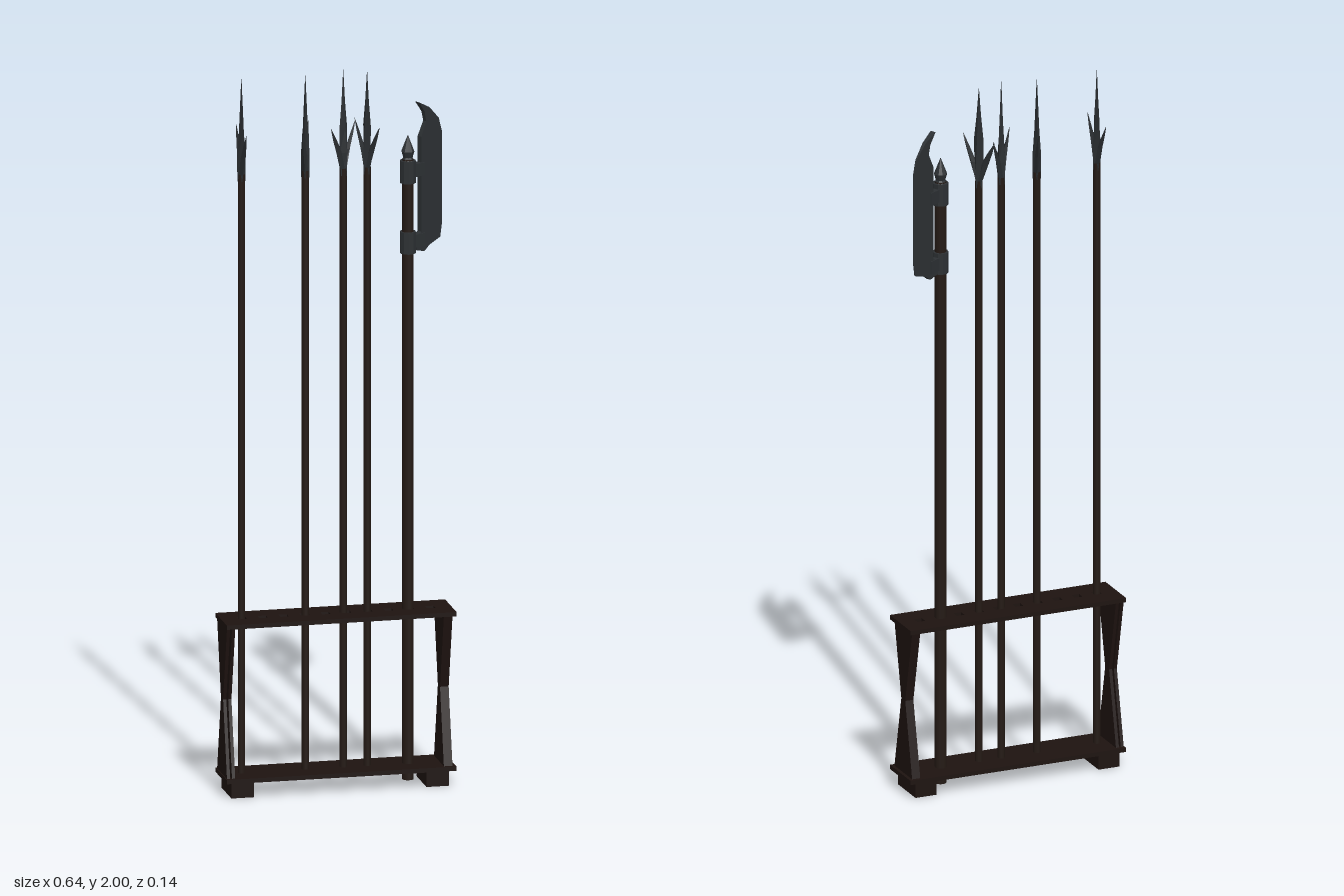
import * as THREE from 'three';

const wood = new THREE.MeshStandardMaterial({ color: 0x1e1310 });
const shaftWood = new THREE.MeshStandardMaterial({ color: 0x241a15 });
const metal = new THREE.MeshStandardMaterial({ color: 0x2c3033, flatShading: true });

function add(parent, name, geometry, material, x = 0, y = 0, z = 0) {
  const mesh = new THREE.Mesh(geometry, material);
  mesh.name = name;
  mesh.position.set(x, y, z);
  parent.add(mesh);
  return mesh;
}

// Spike with a diamond section; stations are [x, y, halfWidth, halfThickness], bottom to top
function diamondLoft(stations) {
  const pos = [], index = [];
  for (const [x, y, w, t] of stations) pos.push(x + w, y, 0, x, y, t, x - w, y, 0, x, y, -t);
  for (let i = 0; i < stations.length - 1; i++) {
    for (let k = 0; k < 4; k++) {
      const a = i * 4 + k, b = i * 4 + (k + 1) % 4;
      index.push(a, a + 4, b, b, a + 4, b + 4);
    }
  }
  index.push(0, 1, 2, 0, 2, 3);
  const g = new THREE.BufferGeometry();
  g.setAttribute('position', new THREE.Float32BufferAttribute(pos, 3));
  g.setIndex(index);
  g.computeVertexNormals();
  return g;
}

function polygon(points) {
  return new THREE.Shape(points.map(([x, y]) => new THREE.Vector2(x, y)));
}

function createRack() {
  const rack = new THREE.Group();
  rack.name = 'rack';

  // Upper board pierced by a row of ten square holes
  const top = polygon([[-0.318, -0.069], [0.318, -0.069], [0.318, 0.069], [-0.318, 0.069]]);
  for (let i = 0; i < 10; i++) {
    const x = -0.261 + i * 0.058, h = 0.0115;
    top.holes.push(new THREE.Path([[x - h, -h], [x - h, h], [x + h, h], [x + h, -h]]
      .map(([a, b]) => new THREE.Vector2(a, b))));
  }
  const topGeo = new THREE.ExtrudeGeometry(top, { depth: 0.012, bevelEnabled: false });
  topGeo.rotateX(-Math.PI / 2);
  add(rack, 'topBoard', topGeo, wood, 0, 0.474, 0);
  add(rack, 'bottomBoard', new THREE.BoxGeometry(0.636, 0.012, 0.138), wood, 0, 0.049, 0);

  for (const x of [-0.272, 0.268]) {
    add(rack, 'foot', new THREE.BoxGeometry(0.062, 0.044, 0.118), wood, x, 0.022, 0);
  }

  // Hourglass end plates, two at each end
  const side = polygon([[-0.06, 0.05], [0.06, 0.05], [0.013, 0.265], [0.06, 0.478],
    [-0.06, 0.478], [-0.013, 0.265]]);
  for (const [x, depth] of [[-0.311, 0.009], [-0.297, 0.009], [0.291, 0.012], [0.303, 0.012]]) {
    const g = new THREE.ExtrudeGeometry(side, { depth, bevelEnabled: false });
    g.translate(0, 0, -depth / 2);
    g.rotateY(Math.PI / 2);
    add(rack, 'endPlate', g, wood, x, 0, 0);
  }
  return rack;
}

function createSpear(x, angle, tip) {
  const spear = new THREE.Group();
  spear.name = 'spear';
  spear.position.x = x;
  spear.rotation.y = angle;
  add(spear, 'spearShaft', new THREE.CylinderGeometry(0.01, 0.01, 1.67, 10), shaftWood, 0, 0.89, 0);
  // Socket swelling into a long central point
  add(spear, 'spearPoint', diamondLoft([[0, 1.705, 0.011, 0.011], [0, 1.77, 0.017, 0.012],
    [0, 1.84, 0.019, 0.007], [0, 1.91, 0.009, 0.004], [0, tip, 0.0005, 0.0005]]), metal);
  // Flaring barbs on both sides
  for (const s of [-1, 1]) {
    add(spear, 'spearBarb', diamondLoft([[s * 0.003, 1.72, 0.008, 0.008],
      [s * 0.022, 1.775, 0.013, 0.007], [s * 0.044, 1.815, 0.008, 0.004],
      [s * 0.062, 1.848, 0.0005, 0.0005]]), metal);
  }
  return spear;
}

function createPoleaxe() {
  const axe = new THREE.Group();
  axe.name = 'poleaxe';
  axe.position.x = 0.199;
  axe.rotation.y = Math.PI / 6;
  add(axe, 'axeShaft', new THREE.CylinderGeometry(0.016, 0.016, 1.73, 12), shaftWood, 0, 0.875, 0);

  // Pointed cap
  const cap = [[0, 1.735], [0.017, 1.735], [0.013, 1.745], [0.018, 1.762], [0.009, 1.785], [0, 1.808]];
  add(axe, 'axeCap', new THREE.LatheGeometry(cap.map(([r, y]) => new THREE.Vector2(r, y)), 10), metal);

  // Collars with short arms that carry the blade
  for (const [y, h] of [[1.705, 0.062], [1.508, 0.06]]) {
    add(axe, 'collar', new THREE.CylinderGeometry(0.022, 0.022, h, 10), metal, 0, y, 0);
    add(axe, 'collarArm', new THREE.BoxGeometry(0.045, 0.036, 0.02), metal, 0.032, y, 0);
  }

  // Blade thins from the back to the cutting edge
  const outline = polygon([[0.025, 1.482], [0.055, 1.474], [0.075, 1.488], [0.118, 1.502],
    [0.125, 1.54], [0.125, 1.795], [0.112, 1.835], [0.075, 1.872], [0.034, 1.893],
    [0.056, 1.862], [0.062, 1.835], [0.043, 1.795], [0.043, 1.53], [0.025, 1.52]]);
  const blade = new THREE.ExtrudeGeometry(outline, { depth: 0.02, bevelEnabled: false });
  blade.translate(0, 0, -0.01);
  const p = blade.attributes.position;
  for (let i = 0; i < p.count; i++) p.setZ(i, p.getZ(i) * (1.1 - p.getX(i) / 0.125));
  blade.computeVertexNormals();
  add(axe, 'axeBlade', blade, metal);
  return axe;
}

export function createModel() {
  const model = new THREE.Group();
  model.name = 'weaponRack';
  model.add(createRack());
  // Position, turn and tip height of each spear
  for (const [x, degrees, tip] of [[-0.262, 90, 1.99], [-0.085, 70, 1.99], [0.02, 45, 2], [0.086, 110, 1.99]]) {
    model.add(createSpear(x, THREE.MathUtils.degToRad(degrees), tip));
  }
  model.add(createPoleaxe());
  return model;
}
